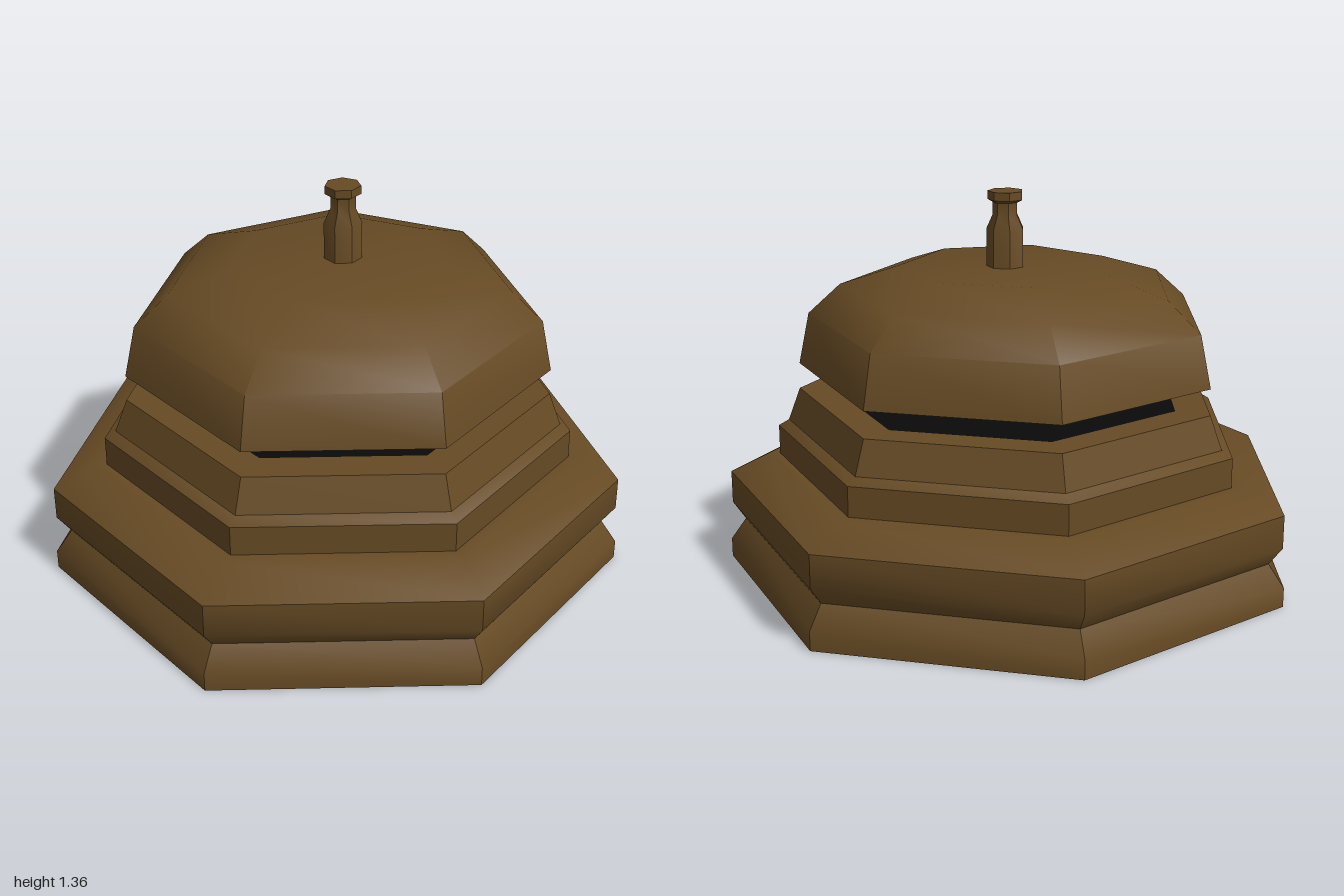
import * as THREE from 'three';
import { toCreasedNormals } from 'three/addons/utils/BufferGeometryUtils.js';

const SIDES = 7;
const CREASE = 0.64;

const brass = new THREE.MeshStandardMaterial({ color: 0x664a24, side: THREE.DoubleSide });
brass.name = 'agedBrass';
const black = new THREE.MeshStandardMaterial({ color: 0x0a0a0a, side: THREE.DoubleSide });
black.name = 'black';

// Seven-sided turned part; profile points are [half width, height].
// Each ring is shifted so that its bounding box stays centred on the axis.
function turned(name, profile, material) {
  const points = profile.map(([w, y]) => new THREE.Vector2(w * 1.027, y));
  const geometry = new THREE.LatheGeometry(points, SIDES, Math.PI * 0.75);
  const pos = geometry.attributes.position;
  for (let i = 0; i < pos.count; i++) {
    const x = pos.getX(i), z = pos.getZ(i), r = Math.hypot(x, z);
    pos.setX(i, x - 0.0258 * r);
    pos.setZ(i, z + 0.0234 * r);
  }
  const mesh = new THREE.Mesh(toCreasedNormals(geometry, CREASE), material);
  mesh.name = name;
  return mesh;
}

export function createModel() {
  const bell = new THREE.Group();
  bell.name = 'deskBell';

  // Hollow stepped base, open underneath, with a narrow rim on top
  bell.add(turned('base', [
    [1, 0], [1, 0.068], [0.945, 0.147], [0.99, 0.21], [0.99, 0.328],
    [0.85, 0.4], [0.81, 0.4], [0.81, 0.505], [0.773, 0.528], [0.73, 0.645], [0.61, 0.645],
  ], brass));

  // Black top plate and the column that carries the dome
  bell.add(turned('column', [
    [0.61, 0.645], [0.307, 0.645], [0.307, 0.92], [0, 0.92],
  ], black));

  // Bell dome, a thin shell open below
  bell.add(turned('dome', [
    [0.728, 0.737], [0.69, 0.92], [0.577, 1.025], [0.365, 1.095], [0, 1.095],
  ], brass));

  // Plunger with its cap
  bell.add(turned('plunger', [
    [0.065, 0.92], [0.065, 1.225], [0.043, 1.275], [0.043, 1.318],
    [0.061, 1.328], [0.061, 1.357], [0, 1.357],
  ], brass));

  return bell;
}
